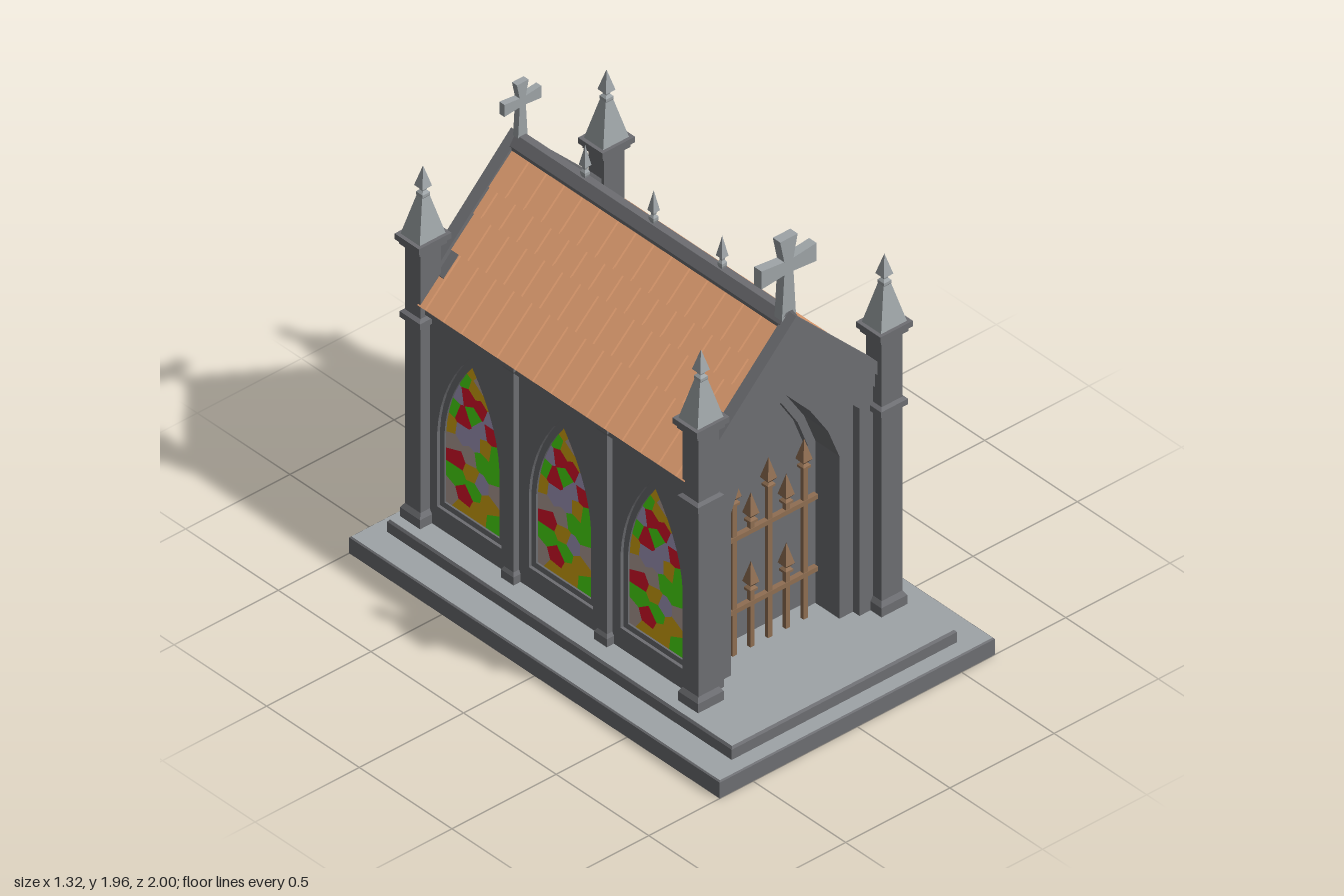
import * as THREE from 'three';
import { mergeGeometries } from 'three/addons/utils/BufferGeometryUtils.js';

const mat = (name, color, side = THREE.FrontSide) =>
  Object.assign(new THREE.MeshStandardMaterial({ color, flatShading: true, side }), { name });
const stone = mat('darkStone', 0x6d6e72, THREE.DoubleSide);
const pale = mat('paleStone', 0x9ea4a7, THREE.DoubleSide);
const clay = mat('clayTile', 0xe4a072);
const iron = mat('rustyIron', 0x8f6e52);
const glass = [mat('redGlass', 0xe4122c), mat('greenGlass', 0x4ee612), mat('goldGlass', 0xdcaa10),
  mat('lavenderGlass', 0xa89ec4), mat('taupeGlass', 0xb8a59c)];

function add(parent, name, geometry, material, x = 0, y = 0, z = 0) {
  const mesh = new THREE.Mesh(geometry, material);
  mesh.name = name;
  mesh.position.set(x, y, z);
  parent.add(mesh);
  return mesh;
}

function addGroup(parent, name) {
  const g = new THREE.Group();
  g.name = name;
  parent.add(g);
  return g;
}

// Stack of rectangular sections [halfX, halfZ, y]
function loft(rings) {
  const pos = [], corners = [[1, 1], [1, -1], [-1, -1], [-1, 1]];
  const at = (r, k) => [r[0] * corners[k % 4][0], r[2], r[1] * corners[k % 4][1]];
  for (let i = 0; i + 1 < rings.length; i++) {
    for (let k = 0; k < 4; k++) {
      const a = at(rings[i], k), b = at(rings[i], k + 1);
      const c = at(rings[i + 1], k + 1), d = at(rings[i + 1], k);
      pos.push(...a, ...b, ...c, ...a, ...c, ...d);
    }
  }
  const g = new THREE.BufferGeometry();
  g.setAttribute('position', new THREE.Float32BufferAttribute(pos, 3));
  g.computeVertexNormals();
  return g;
}

// Square section spike from [half width, y] pairs
const spike = pts => loft(pts.map(([r, y]) => [r, r, y]));

// Symmetric outline from its right half, listed bottom to top
function mirrored(half) {
  const left = half.filter(p => p[0] > 0).map(([x, y]) => [-x, y]).reverse();
  return [...half, ...left].map(p => new THREE.Vector2(...p));
}

// Pointed opening: straight-sided gable, or an arch when a bulge is given
function pointed(w, y0, spring, apex, bulge, steps = 7) {
  if (!bulge) return mirrored([[w, y0], [w, spring], [0, apex]]);
  const curve = new THREE.QuadraticBezierCurve(new THREE.Vector2(w, spring),
    new THREE.Vector2(w * bulge, spring + (apex - spring) * 0.52), new THREE.Vector2(0, apex));
  const pts = curve.getPoints(steps).map(p => [p.x, p.y]);
  pts[steps] = [0, apex];
  return mirrored([[w, y0], ...pts]);
}

// Plate with holes, its front face at local z = 0
function plate(outline, holes, depth) {
  const shape = new THREE.Shape(outline);
  shape.holes = holes.map(h => new THREE.Path(h));
  return new THREE.ExtrudeGeometry(shape, { depth, bevelEnabled: false }).translate(0, 0, -depth);
}

const shifted = (pts, dx) => pts.map(p => new THREE.Vector2(p.x + dx, p.y));

// Glass pieces: [across, down, colour], in hundredths of a unit from window centre and from y = 1
const PIECES = [
  [-1, 10, 2], [4, 14, 4], [-5, 16, 1], [1, 18, 2], [8, 20, 2], [-9, 24, 3], [-3, 23, 0], [4, 25, 0],
  [9, 27, 3], [-11, 31, 1], [-6, 33, 0], [0, 30, 1], [4, 34, 3], [9, 33, 0], [-13, 40, 2], [-6, 41, 3],
  [1, 41, 3], [6, 41, 2], [12, 42, 1], [-11, 47, 4], [-2, 49, 4], [4, 48, 1], [10, 51, 1], [-9, 53, 0],
  [-1, 56, 2], [4, 58, 3], [12, 58, 4], [-9, 61, 1], [0, 63, 1], [8, 65, 2], [-13, 70, 4], [-5, 67, 0],
  [3, 71, 2], [11, 72, 1], [-6, 75, 2],
];

// Keep the part of a polygon that is nearer to p than to q
function nearer(poly, p, q) {
  const f = v => (v.x - (p.x + q.x) / 2) * (p.x - q.x) + (v.y - (p.y + q.y) / 2) * (p.y - q.y);
  const out = [];
  poly.forEach((a, i) => {
    const b = poly[(i + 1) % poly.length], fa = f(a), fb = f(b);
    if (fa >= 0) out.push(a);
    if (fa * fb < 0) out.push(a.clone().lerp(b, fa / (fa - fb)));
  });
  return out;
}

function stainedGlass(outline) {
  const sites = PIECES.map(([x, y]) => new THREE.Vector2(x / 100, 1 - y / 100));
  const byColour = glass.map(() => []);
  sites.forEach((p, i) => {
    let cell = outline;
    for (const q of sites) if (q !== p) cell = nearer(cell, p, q);
    if (cell.length > 2) byColour[PIECES[i][2]].push(new THREE.ShapeGeometry(new THREE.Shape(cell)));
  });
  return byColour.map(list => mergeGeometries(list));
}

// Clay tiles for one roof slope, falling towards +x
function tiles() {
  const rows = [0.035, 0.14, 0.215, 0.32, 0.48], list = [], pitch = 1.45 / 15;
  for (let r = 0; r < 4; r++) {
    const mid = (rows[r] + rows[r + 1]) / 2, len = (rows[r + 1] - rows[r]) * 1.457 + 0.01;
    for (let i = 0; i < 16; i++) {
      const a = Math.max(-0.725, -0.725 + (i - (r % 2) * 0.5) * pitch);
      const b = Math.min(0.725, -0.725 + (i + 1 - (r % 2) * 0.5) * pitch);
      if (b - a < 0.02) continue;
      list.push(new THREE.BoxGeometry(len, 0.018, b - a - 0.008)
        .rotateZ(-0.76).translate(mid, 1.609 - 1.06 * mid, (a + b) / 2));
    }
  }
  return mergeGeometries(list);
}

export function createModel() {
  const model = new THREE.Group();
  model.name = 'chapel';

  // Hollow stepped base with pale treads
  add(model, 'lowerStep', loft([[0.66, 1, 0], [0.66, 1, 0.07], [0.654, 0.994, 0.075]]), stone);
  add(model, 'lowerTread', loft([[0.654, 0.994, 0.075], [0.54, 0.93, 0.075]]), pale);
  add(model, 'upperStep', loft([[0.54, 0.93, 0.075], [0.54, 0.93, 0.12], [0.533, 0.923, 0.13]]), stone);
  add(model, 'upperTread', loft([[0.533, 0.923, 0.13], [0, 0, 0.13]]), pale);

  const body = addGroup(model, 'building');
  body.position.set(0.01, 0, -0.11);

  // Corner pillars with spires
  const finial = spike([[0.012, 0], [0.018, 0.012], [0.018, 0.024], [0.009, 0.034], [0.012, 0.046],
    [0.023, 0.052], [0, 0.14]]);
  const pillar = loft([[0.062, 0.054, 0.13], [0.062, 0.054, 0.17], [0.05, 0.042, 0.19], [0.05, 0.042, 1.01],
    [0.064, 0.055, 1.015], [0.064, 0.055, 1.04], [0.05, 0.042, 1.05], [0.05, 0.042, 1.33],
    [0.066, 0.056, 1.34], [0.066, 0.056, 1.355], [0.078, 0.066, 1.36], [0.078, 0.066, 1.385], [0, 0, 1.385]]);
  const spire = loft([[0.062, 0.052, 1.385], [0.014, 0.012, 1.57], [0, 0, 1.57]]);
  for (const x of [-0.44, 0.44]) for (const z of [-0.75, 0.75]) {
    add(body, 'pillar', pillar, stone, x, 0, z);
    add(body, 'spire', spire, pale, x, 0, z);
    add(body, 'spireFinial', finial, pale, x, 1.545, z);
  }

  // Side walls, windows, pilasters and roof slopes
  const opening = pointed(0.173, 0.22, 0.55, 0.97, 0.92);
  const pane = pointed(0.148, 0.245, 0.55, 0.925, 0.92);
  const wall = plate([[-0.73, 0.125], [0.73, 0.125], [0.73, 1.1], [-0.73, 1.1]].map(p => new THREE.Vector2(...p)),
    [-0.495, 0, 0.495].map(x => shifted(opening, x)), 0.05);
  const frame = plate(opening, [pane], 0.03);
  const panes = stainedGlass(pane), slope = tiles();
  const pilaster = loft([[0.034, 0.034, 0.13], [0.034, 0.034, 0.165], [0.026, 0.026, 0.18],
    [0.026, 0.026, 1.06], [0.034, 0.034, 1.075], [0.034, 0.034, 1.09]]);
  for (const turn of [0, Math.PI]) {
    const side = addGroup(body, 'side');
    side.rotation.y = turn;
    const face = addGroup(side, 'sideWall');
    face.rotation.y = Math.PI / 2;
    add(face, 'wall', wall, stone, 0, 0, 0.445);
    for (const x of [-0.495, 0, 0.495]) {
      add(face, 'windowFrame', frame, stone, x, 0, 0.432);
      panes.forEach((g, i) => add(face, 'windowGlass', g, glass[i], x, 0, 0.424));
    }
    for (const x of [-0.252, 0.252]) add(face, 'pilaster', pilaster, stone, x, 0, 0.445);
    add(side, 'roofTiles', slope, clay);
  }
  const chevron = (w, top, thick) => mirrored([[0, top - thick], [w, top - thick - w], [w, top - w], [0, top]]);
  add(body, 'roofDeck', plate(chevron(0.468, 1.577, 0.05), [], 1.44), stone, 0, 0, 0.72);

  // Steep-sided ridge with finials
  add(body, 'ridge', loft([[0.042, 0.73, 1.575], [0.042, 0.73, 1.59], [0.016, 0.73, 1.63], [0, 0.73, 1.63]]), stone);
  for (const z of [-0.37, 0, 0.37]) add(body, 'ridgeFinial', finial, pale, 0, 1.63, z).scale.set(0.7, 1, 0.7);

  // Gable ends with nested recesses, a coping and a cross
  const house = pointed(0.4, 0.115, 1.2, 1.6);
  const recess = pointed(0.325, 0.125, 1.05, 1.37);
  const arch = pointed(0.26, 0.125, 0.85, 1.25, 0.78, 3);
  const innerArch = pointed(0.222, 0.125, 0.85, 1.2, 0.78, 3);
  const recessBack = pointed(0.34, 0.115, 1.05, 1.39);
  const archBack = pointed(0.28, 0.115, 0.85, 1.27, 0.78, 3);
  const cross = mirrored([[0.034, -0.23], [0.022, -0.03], [0.132, -0.04], [0.132, 0.04],
    [0.022, 0.028], [0.042, 0.125]]);
  for (const front of [true, false]) {
    const end = addGroup(body, front ? 'frontGable' : 'backGable');
    if (!front) end.rotation.y = Math.PI;
    const inner = front ? 0.58 : 0.68;
    add(end, 'gableWall', plate(house, [recess], 0.06), stone, 0, 0, 0.745);
    add(end, 'gableMoulding', plate(chevron(0.4, 1.57, 0.06), [], 0.03), stone, 0, 0, 0.757);
    add(end, 'coping', plate(chevron(0.4, 1.63, 0.06), [], 0.05), stone, 0, 0, 0.77);
    add(end, 'archSurround', plate(recessBack, [arch], 0.715 - inner), stone, 0, 0, 0.71);
    add(end, 'innerArch', plate(archBack, [innerArch], 0.03), stone, 0, 0, inner);
    add(end, 'blindPanel', plate(archBack, [], 0.02), stone, 0, 0, inner - 0.025);
    const size = front ? 1 : 0.67;
    const thick = front ? 0.04 : 0.027;
    add(end, 'cross', plate(cross, [], thick), pale, 0, front ? 1.83 : 1.78, (front ? 0.71 : 0.72) + thick / 2)
      .scale.set(size, size, 1);
  }

  // Iron gate with spear points
  const gate = addGroup(body, 'gate');
  gate.position.z = 0.62;
  const spear = spike([[0.012, 0], [0.018, 0.004], [0.018, 0.014], [0.009, 0.024], [0.022, 0.04], [0, 0.13]]);
  const bar = (x, y0, tip) => {
    const h = tip - 0.12 - y0;
    add(gate, 'gateBar', new THREE.BoxGeometry(0.02, h, 0.018), iron, x, y0 + h / 2, 0);
    add(gate, 'gateSpear', spear, iron, x, tip - 0.13, 0);
  };
  for (const x of [-0.17, 0, 0.17]) bar(x, 0.13, 0.925);
  for (const x of [-0.085, 0.085]) {
    bar(x, 0.13, 0.505);
    bar(x, 0.635, 0.81);
  }
  for (const y of [0.325, 0.645]) add(gate, 'gateRail', new THREE.BoxGeometry(0.456, 0.02, 0.022), iron, 0, y, 0);

  return model;
}
